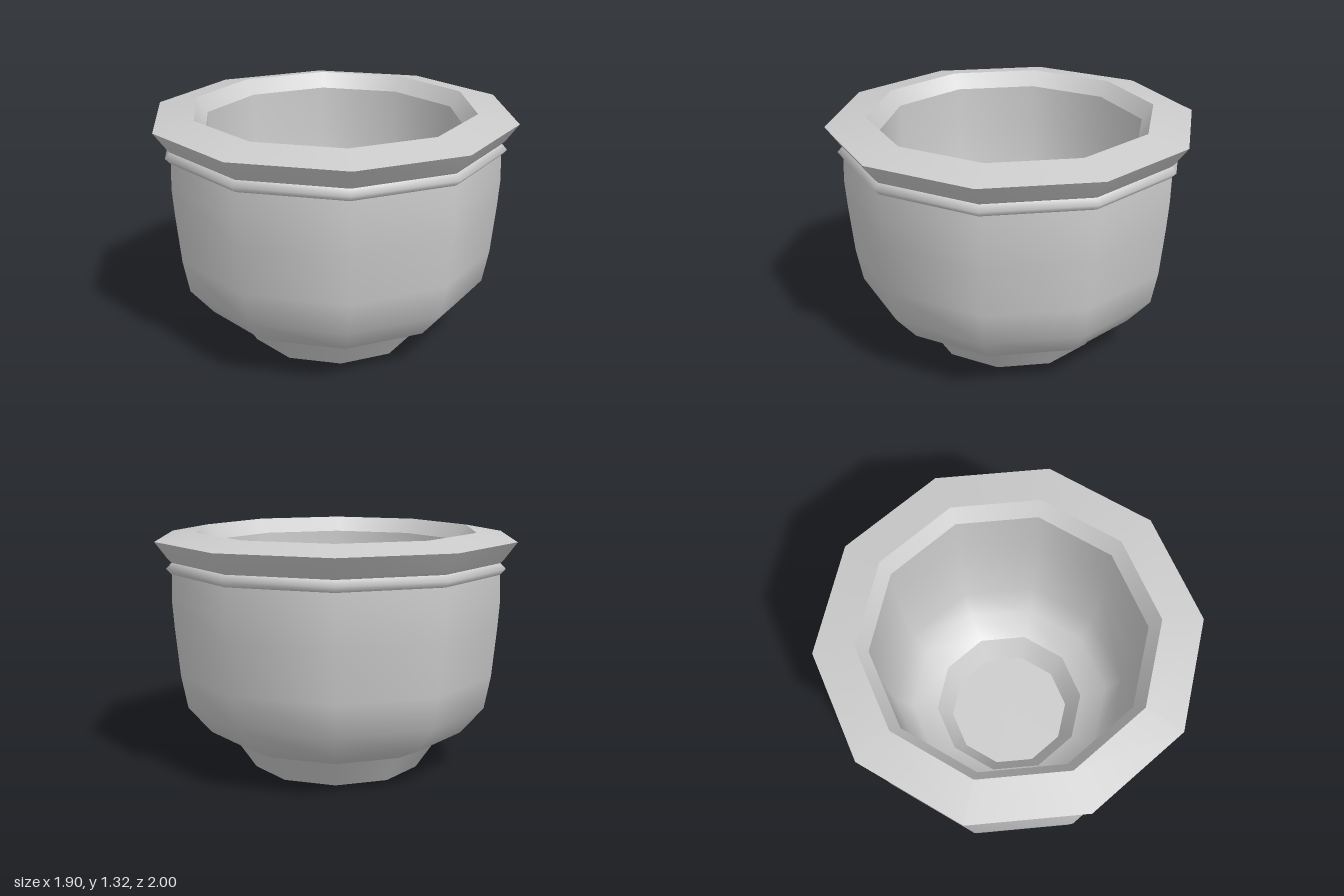
import * as THREE from 'three';

const SIDES = 10;

export function createModel() {
  const pot = new THREE.Group();
  pot.name = 'pot';
  const clay = new THREE.MeshStandardMaterial({ color: 0xcccccc });
  clay.name = 'paleGrey';

  // Each section is one smooth lathe of [radius, height] points; edges between sections stay sharp
  const turn = (name, profile) => {
    const points = profile.map(([r, y]) => new THREE.Vector2(r, y));
    const mesh = new THREE.Mesh(new THREE.LatheGeometry(points, SIDES), clay);
    mesh.name = name;
    pot.add(mesh);
  };

  // Outside, from the base upwards
  turn('base', [[0, 0], [0.47, 0]]);
  turn('foot', [[0.47, 0], [0.573, 0.152]]);
  turn('body', [
    [0.573, 0.152], [0.718, 0.222], [0.845, 0.37], [0.88, 0.55],
    [0.906, 0.82], [0.917, 0.97], [0.912, 1.105],
  ]);
  turn('bead', [[0.912, 1.105], [0.942, 1.137], [0.912, 1.167]]);
  turn('rimUnderside', [[0.912, 1.167], [0.93, 1.185], [1, 1.28]]);
  turn('rimTop', [[1, 1.28], [0.78, 1.322]]);

  // Inside, from the mouth downwards
  turn('innerLip', [[0.78, 1.322], [0.72, 1.24]]);
  turn('innerWall', [
    [0.72, 1.24], [0.715, 1.0], [0.7, 0.8], [0.66, 0.47],
    [0.57, 0.32], [0.43, 0.24],
  ]);
  turn('innerFoot', [[0.43, 0.24], [0.345, 0.1]]);
  turn('innerFloor', [[0.345, 0.1], [0, 0.1]]);

  return pot;
}
